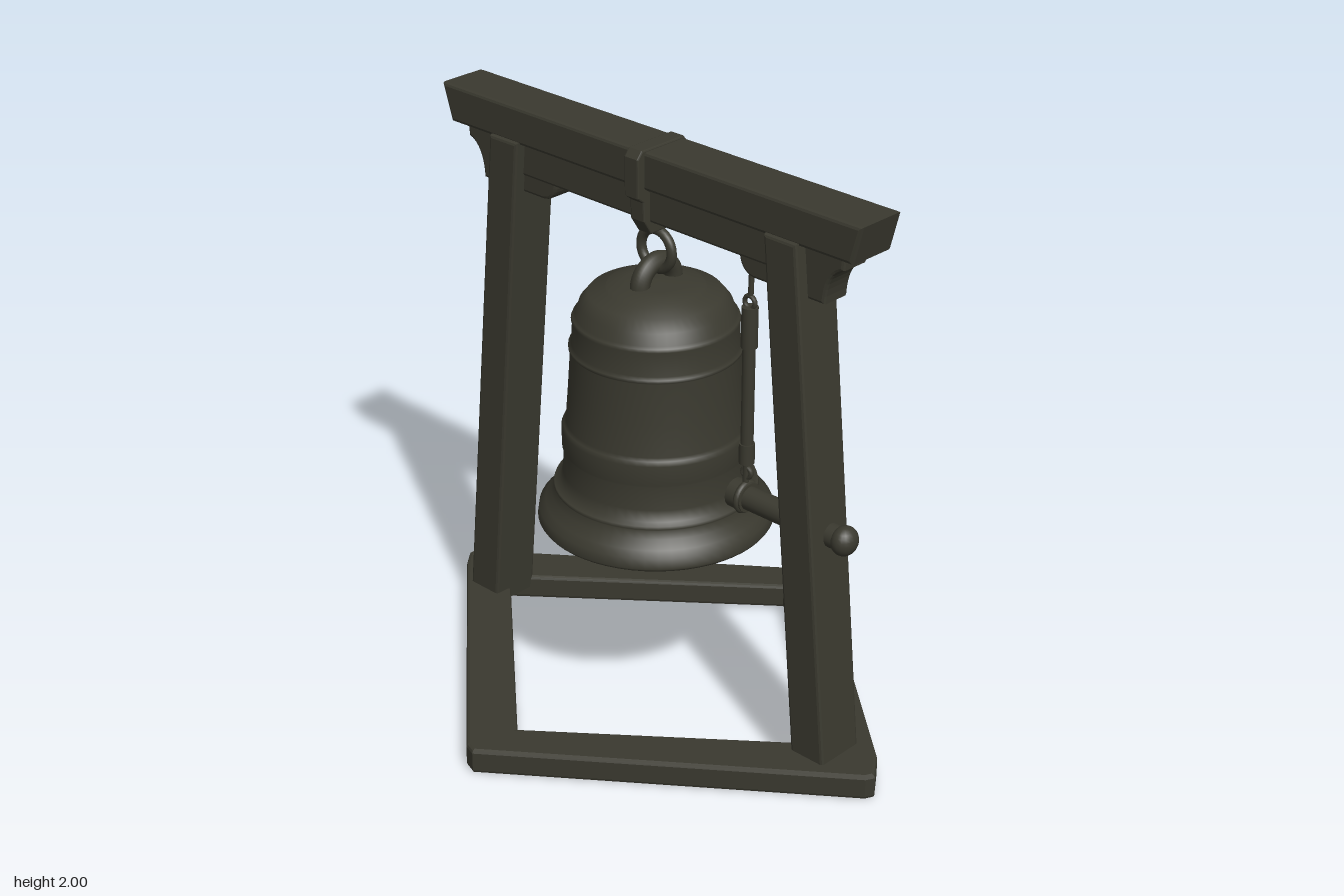
import * as THREE from 'three';

const iron = new THREE.MeshStandardMaterial({ color: 0x3a392f });
iron.name = 'dark weathered bronze';

const V = (pairs) => pairs.map(([x, y]) => new THREE.Vector2(x, y));

function add(parent, name, geometry, x = 0, y = 0, z = 0) {
  const mesh = new THREE.Mesh(geometry, iron);
  mesh.name = name;
  mesh.position.set(x, y, z);
  parent.add(mesh);
  return mesh;
}

// Bevelled slab whose outline and thickness are the finished sizes; runs from z0 to z1.
function slab(shape, z0, z1, b = 0.01) {
  const g = new THREE.ExtrudeGeometry(shape, {
    depth: z1 - z0 - 2 * b, bevelEnabled: true, bevelThickness: b,
    bevelSize: b, bevelOffset: -b, bevelSegments: 2, curveSegments: 8,
  });
  return g.translate(0, 0, z0 + b);
}

// Cylinder between two points
function rod(parent, name, a, b, r, sides = 14) {
  const p = new THREE.Vector3(...a), q = new THREE.Vector3(...b);
  const dir = q.clone().sub(p);
  const mesh = add(parent, name, new THREE.CylinderGeometry(r, r, dir.length(), sides));
  mesh.position.copy(p).add(q).multiplyScalar(0.5);
  mesh.quaternion.setFromUnitVectors(new THREE.Vector3(0, 1, 0), dir.normalize());
  return mesh;
}

export function createModel() {
  const model = new THREE.Group();
  model.name = 'bellStand';

  // Diamond floor frame, slightly tilted
  const outline = new THREE.Shape(V([
    [-0.995, 0.065], [-0.995, 0.035], [-0.95, -0.02], [-0.09, -0.81], [-0.045, -0.825],
    [0.98, -0.05], [0.995, -0.02], [0.93, 0.07], [0.05, 0.825], [0.02, 0.84],
  ]));
  outline.holes.push(new THREE.Path(V([[0.01, 0.655], [0.765, 0.01], [-0.03, -0.635], [-0.76, 0.02]])));
  const frame = add(model, 'floorFrame', slab(outline, -0.045, 0.045, 0.012), 0, 0.055, 0);
  frame.rotation.set(-Math.PI / 2 + 0.006, 0.005, 0);

  // Leaning posts and their outer brackets
  for (const s of [-1, 1]) {
    const side = s > 0 ? 'left' : 'right';
    const post = new THREE.Shape(V([[0.705 * s, 0.06], [0.842 * s, 0.06], [0.665 * s, 1.875], [0.537 * s, 1.875]]));
    add(model, side + 'Post', slab(post, -0.08, 0.1));

    const outer = new THREE.Shape();
    outer.moveTo(0.63 * s, 1.87);
    outer.lineTo(0.82 * s, 1.87);
    outer.lineTo(0.815 * s, 1.82);
    outer.quadraticCurveTo(0.75 * s, 1.8, 0.745 * s, 1.69);
    outer.lineTo(0.63 * s, 1.69);
    add(model, side + 'OuterBracket', slab(outer, -0.055, 0.055));

    const inner = new THREE.Shape();
    inner.moveTo(0.58 * s, 1.87);
    inner.lineTo(0.58 * s, 1.69);
    inner.lineTo(0.46 * s, 1.69);
    inner.quadraticCurveTo(0.4 * s, 1.7, 0.4 * s, 1.77);
    inner.lineTo(0.4 * s, 1.87);
    add(model, side + 'InnerBracket', slab(inner, -0.055, 0.055));
  }

  // Top beam with slanted ends and the rail beneath it
  const beam = new THREE.Shape(V([[-0.865, 1.865], [0.87, 1.865], [0.903, 1.993], [-0.906, 1.993]]));
  add(model, 'topBeam', slab(beam, -0.1, 0.085, 0.012));
  const rail = new THREE.Shape(V([[-0.6, 1.75], [0.6, 1.75], [0.6, 1.88], [-0.6, 1.88]]));
  add(model, 'lowerRail', slab(rail, -0.06, 0.06));

  // Strap wrapped round the beam, drawn in before passing under the rail
  const strapPath = (k) => V([
    [-0.09 - k, 2 - 0.025], [-0.07 - k, 2 - 0.025 + k], [0.07 + k, 2 - 0.025 + k], [0.09 + k, 2 - 0.025],
    [0.09 + k, 1.87 - k], [0.065 + k, 1.85 - k], [0.062 + k, 1.76], [0.03 + k, 1.735 - k],
    [-0.03 - k, 1.735 - k], [-0.062 - k, 1.76], [-0.065 - k, 1.85 - k], [-0.09 - k, 1.87 - k],
  ]);
  const strapShape = new THREE.Shape(strapPath(0.025));
  strapShape.holes.push(new THREE.Path(strapPath(0)));
  const strap = add(model, 'beamStrap', slab(strapShape, -0.03, 0.03, 0.005));
  strap.rotation.y = Math.PI / 2;

  // Hanging ring linked through the bell's crown loop
  add(model, 'hangingRing', new THREE.TorusGeometry(0.067, 0.017, 12, 32), 0, 1.635, 0);
  const loop = add(model, 'crownLoop', new THREE.TorusGeometry(0.077, 0.033, 12, 28, Math.PI), 0, 1.515, 0);
  loop.rotation.y = Math.PI / 2;

  // Hollow bell with raised bands and a flared lip
  const profile = V([
    [0, 1.37], [0.2, 1.36], [0.235, 1.25], [0.265, 1], [0.295, 0.8], [0.34, 0.72], [0.365, 0.67], [0.39, 0.67],
    [0.397, 0.68], [0.392, 0.715], [0.37, 0.735], [0.35, 0.765], [0.338, 0.79], [0.342, 0.796], [0.34, 0.806],
    [0.32, 0.812], [0.311, 0.85], [0.305, 0.93], [0.312, 0.94], [0.313, 1.01], [0.306, 1.025], [0.298, 1.035],
    [0.289, 1.15], [0.28, 1.288], [0.286, 1.294], [0.286, 1.304], [0.276, 1.312], [0.272, 1.39], [0.276, 1.396],
    [0.272, 1.406], [0.262, 1.412], [0.25, 1.45], [0.22, 1.487], [0.165, 1.5], [0.16, 1.514], [0.1, 1.525], [0, 1.53],
  ]);
  add(model, 'bell', new THREE.LatheGeometry(profile, 56), -0.002, 0, 0);

  // Striker: horizontal bar through the post with a collar and a round knob
  rod(model, 'strikerBar', [0.36, 0.885, 0], [0.83, 0.885, 0], 0.04, 18);
  rod(model, 'strikerCollar', [0.352, 0.885, 0], [0.415, 0.885, 0], 0.05, 18);
  const knob = add(model, 'strikerKnob', new THREE.SphereGeometry(0.05, 18, 12), 0.815, 0.885, 0);
  knob.scale.x = 0.85;

  // Hanger that carries the striker
  rod(model, 'hangerHook', [0.41, 1.77, 0], [0.405, 1.6, 0], 0.009, 8);
  rod(model, 'hangerShaft', [0.402, 1.56, 0], [0.4, 1.03, 0], 0.021);
  rod(model, 'hangerSleeve', [0.403, 1.56, 0], [0.402, 1.42, 0], 0.027);
  rod(model, 'hangerTip', [0.4, 1.08, 0], [0.4, 1.01, 0], 0.026);
  rod(model, 'hangerLink', [0.4, 1.02, 0], [0.397, 0.9, 0], 0.011, 8);
  for (const [y, r] of [[1.575, 0.021], [0.975, 0.018]]) {
    add(model, 'hangerEye', new THREE.TorusGeometry(r, 0.008, 8, 18), 0.402, y, 0);
  }
  const pin = add(model, 'hangerClasp', new THREE.TorusGeometry(0.047, 0.011, 8, 24), 0.4, 0.885, 0);
  pin.rotation.y = Math.PI / 2;

  return model;
}
